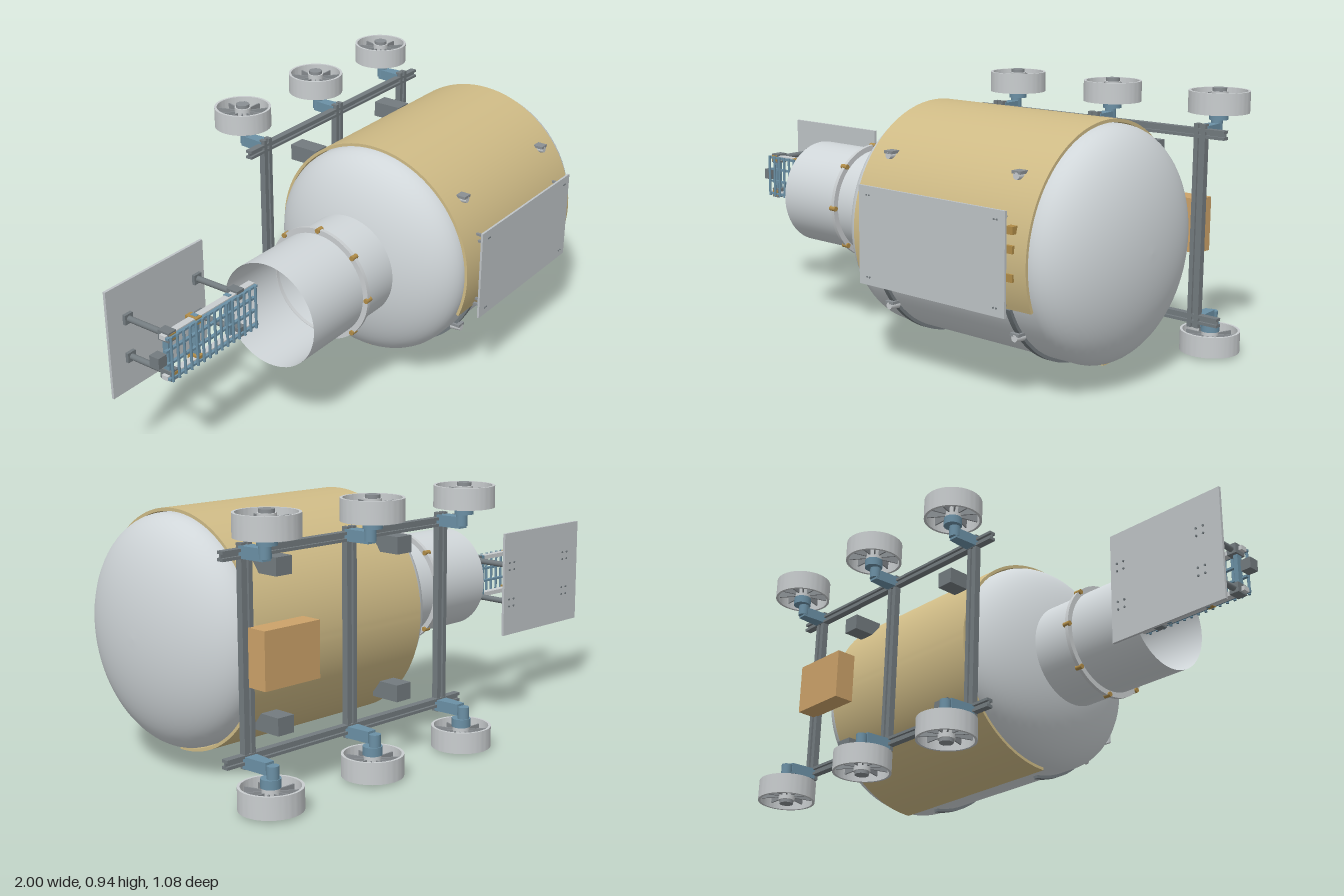
import * as THREE from 'three';
import { toCreasedNormals } from 'three/addons/utils/BufferGeometryUtils.js';

const mat = (name, color, side = THREE.FrontSide) => {
  const m = new THREE.MeshStandardMaterial({ color, side });
  m.name = name;
  return m;
};

export function createModel() {
  const M = {
    hull: mat('hull light grey', 0xd0d6d9, THREE.DoubleSide),
    blanket: mat('khaki blanket', 0xcfbb86),
    panel: mat('panel grey', 0xbfc4c7),
    frame: mat('frame dark grey', 0x737b7f),
    blue: mat('motor blue', 0x6b90a5),
    box: mat('orange box', 0xcca269),
    gold: mat('gold fittings', 0xb08c48),
    wheel: mat('wheel grey', 0xc9cdcf),
    spoke: mat('spoke grey', 0x8a8f93),
  };
  const root = new THREE.Group();
  root.name = 'pressurisedModule';
  const CY = 0.475, CZ = 0.105;

  const add = (name, geo, material, x = 0, y = 0, z = 0, parent = root) => {
    const mesh = new THREE.Mesh(geo, material);
    mesh.name = name;
    mesh.position.set(x, y, z);
    parent.add(mesh);
    return mesh;
  };
  // box given by its limits on each axis
  const slab = (name, material, [x0, x1], [y0, y1], [z0, z1], parent = root) =>
    add(name, new THREE.BoxGeometry(x1 - x0, y1 - y0, z1 - z0), material,
      (x0 + x1) / 2, (y0 + y1) / 2, (z0 + z1) / 2, parent);
  // cylinder along a chosen axis
  const rod = (name, material, r, len, axis, x, y, z, parent = root, r2 = r) => {
    const g = new THREE.CylinderGeometry(r2, r, len, 20);
    if (axis === 'x') g.rotateZ(-Math.PI / 2);
    if (axis === 'z') g.rotateX(Math.PI / 2);
    return add(name, g, material, x, y, z, parent);
  };
  // curved band around the x axis: 0 deg = back, 90 = top, 180 = front
  const band = (rOut, rIn, from, to, len) => {
    const s = new THREE.Shape();
    const a = THREE.MathUtils.degToRad(from), b = THREE.MathUtils.degToRad(to);
    s.absarc(0, 0, rOut, a, b, false);
    s.absarc(0, 0, rIn, b, a, true);
    const g = new THREE.ExtrudeGeometry(s, { depth: len, bevelEnabled: false, curveSegments: 64 });
    g.translate(0, 0, -len / 2).rotateY(Math.PI / 2);
    return toCreasedNormals(g, 0.5);
  };
  const ringGeo = (rOut, rIn, len) => {
    const s = new THREE.Shape();
    s.absarc(0, 0, rOut, 0, Math.PI * 2, false);
    const h = new THREE.Path();
    h.absarc(0, 0, rIn, 0, Math.PI * 2, true);
    s.holes.push(h);
    const g = new THREE.ExtrudeGeometry(s, { depth: len, bevelEnabled: false, curveSegments: 48 });
    g.translate(0, 0, -len / 2).rotateY(Math.PI / 2);
    return toCreasedNormals(g, 0.5);
  };

  // Tank with elliptical domes
  const profile = [];
  const R = 0.396, D = 0.18;
  for (let i = 0; i <= 16; i++) {
    const a = (i / 16) * Math.PI / 2;
    profile.push(new THREE.Vector2(R * Math.sin(a), 0.08 - D * Math.cos(a)));
  }
  for (let i = 0; i <= 16; i++) {
    const a = (i / 16) * Math.PI / 2;
    profile.push(new THREE.Vector2(Math.max(R * Math.cos(a), 0), 0.82 + D * Math.sin(a)));
  }
  const tank = new THREE.LatheGeometry(profile, 72);
  tank.rotateZ(-Math.PI / 2);
  add('tank', tank, M.hull, 0, CY, CZ);
  add('blanket', band(0.41, 0.399, -90, 202, 0.75), M.blanket, 0.445, CY, CZ);

  // Open neck with clamp ring
  const neck = new THREE.CylinderGeometry(0.192, 0.192, 0.48, 64, 1, true);
  neck.rotateZ(Math.PI / 2);
  add('neck', neck, M.hull, -0.295, CY, CZ);
  add('clampRing', ringGeo(0.212, 0.19, 0.014), M.wheel, -0.25, CY, CZ);
  for (let i = 0; i < 8; i++) {
    const a = (i / 8) * Math.PI * 2;
    rod('clampBolt', M.gold, 0.009, 0.028, 'x', -0.25, CY + 0.208 * Math.sin(a), CZ + 0.208 * Math.cos(a));
  }

  // Front panel, curved rails and fittings
  slab('frontPanel', M.panel, [0.122, 0.758], [0.307, 0.645], [0.532, 0.54]);
  for (const x of [0.165, 0.72]) {
    add('hullRail', band(0.407, 0.394, 203, 262, 0.02), M.frame, x, CY, CZ);
    for (const y of [0.615, 0.59, 0.51, 0.435, 0.357, 0.335]) {
      const z0 = CZ + Math.sqrt(0.395 ** 2 - (y - CY) ** 2);
      slab('standoff', M.spoke, [x - 0.005, x + 0.005], [y - 0.004, y + 0.004], [z0, 0.533]);
    }
    for (const y of [0.615, 0.335])
      for (const dx of [-0.006, 0.006])
        rod('panelBolt', M.frame, 0.003, 0.004, 'z', x + dx, y, 0.541);
    for (const y of [0.735, 0.215]) {
      rod('hullFitting', M.wheel, 0.016, 0.04, 'z', x, y, 0.425, root, 0.012);
      slab('fittingPlate', M.spoke, [x - 0.018, x + 0.018], [y + 0.006, y + 0.016], [0.4, 0.445]);
    }
  }
  for (const y of [0.42, 0.51, 0.57]) slab('goldClip', M.gold, [0.745, 0.772], [y, y + 0.025], [0.49, 0.522]);

  // Chassis: channel beams along x and pairs of cross beams
  const channel = (y) => {
    for (const s of [-1, 1])
      slab('railFlange', M.frame, [-0.1, 0.985], [y + s * 0.011 - 0.005, y + s * 0.011 + 0.005], [-0.343, -0.317]);
    slab('railWeb', M.frame, [-0.1, 0.985], [y - 0.008, y + 0.008], [-0.333, -0.327]);
  };
  channel(0.8);
  channel(0.15);
  const wheelX = [-0.003, 0.443, 0.89];
  for (const x of wheelX) {
    for (const s of [-1, 1])
      slab('crossBeam', M.frame, [x + s * 0.014 - 0.008, x + s * 0.014 + 0.008], [0.118, 0.832], [-0.341, -0.317]);
    slab('crossWeb', M.frame, [x - 0.008, x + 0.008], [0.118, 0.832], [-0.333, -0.325]);
  }
  for (const x of [0.167, 0.718])
    for (const y of [0.735, 0.215])
      slab('tankMount', M.frame, [x - 0.034, x + 0.034], [y - 0.03, y + 0.03], [-0.317, -0.2]);
  slab('equipmentBox', M.box, [0.657, 0.887], [0.378, 0.568], [-0.413, -0.336]);

  // Wheels: rim, spokes, hub, motor and arm; the lower set is mirrored
  const rim = ringGeo(0.105, 0.096, 0.075).rotateZ(Math.PI / 2);
  for (const x of wheelX)
    for (const up of [1, -1]) {
      const g = new THREE.Group();
      g.name = up > 0 ? 'upperWheel' : 'lowerWheel';
      g.position.set(x, CY - 0.002 + up * 0.425, -0.435);
      if (up < 0) g.rotation.x = Math.PI;
      root.add(g);
      add('rim', rim, M.wheel, 0, 0, 0, g);
      rod('hub', M.wheel, 0.03, 0.07, 'y', 0, 0, 0, g);
      rod('hubCap', M.spoke, 0.025, 0.016, 'y', 0, 0.039, 0, g);
      for (let i = 0; i < 10; i++) {
        const a = (i / 10) * Math.PI * 2;
        const m = add('spoke', new THREE.BoxGeometry(0.072, 0.04, 0.005), M.spoke,
          0.063 * Math.cos(a), 0, -0.063 * Math.sin(a), g);
        m.rotation.y = a;
      }
      rod('motor', M.blue, 0.033, 0.03, 'y', 0, -0.048, 0, g);
      // tapered arm from the beam to the motor
      const arm = new THREE.BoxGeometry(0.05, 0.04, 0.1);
      const p = arm.attributes.position;
      for (let i = 0; i < p.count; i++) if (p.getZ(i) * up < 0) p.setX(i, p.getX(i) * 0.7);
      arm.computeVertexNormals();
      add('arm', arm, M.blue, 0, -0.093, up * 0.053, g);
      rod('steeringShaft', M.blue, 0.02, 0.05, 'y', 0, -0.08, 0.01, g);
    }

  // Rear panel on four posts
  slab('rearPanel', M.panel, [-1, -0.535], [0.275, 0.677], [-0.19, -0.18]);
  for (const x of [-0.915, -0.578])
    for (const y of [0.547, 0.403]) {
      rod('panelPost', M.frame, 0.011, 0.17, 'z', x, y, -0.095);
      slab('postFoot', M.frame, [x - 0.018, x + 0.018], [y - 0.018, y + 0.018], [-0.18, -0.168]);
      slab('postClamp', M.frame, [x - 0.018, x + 0.018], [y - 0.018, y + 0.018], [-0.025, 0.022]);
      for (const dx of [-0.014, 0.014])
        for (const dy of [-0.014, 0.014])
          rod('postBolt', M.frame, 0.004, 0.004, 'z', x + dx, y + dy, -0.191);
    }

  // Ladder conveyor reaching into the neck
  for (const y of [0.4, 0.55]) {
    slab('ladderBeam', M.wheel, [-0.945, -0.5], [y - 0.008, y + 0.008], [-0.008, 0.018]);
    slab('ladderEdge', M.blue, [-0.945, -0.5], [y - 0.004, y + 0.004], [0.018, 0.03]);
  }
  for (const y of [0.45, 0.5]) slab('ladderStringer', M.blue, [-0.945, -0.5], [y - 0.004, y + 0.004], [0.008, 0.02]);
  for (let i = 0; i < 15; i++) rod('rung', M.blue, 0.005, 0.165, 'y', -0.935 + i * 0.03, CY, 0.033);
  for (const x of [-0.92, -0.785, -0.62])
    slab('ladderTie', M.blue, [x - 0.008, x + 0.008], [0.39, 0.56], [-0.012, 0.012]);
  for (const x of [-0.915, -0.79])
    for (const y of [0.547, 0.403])
      slab('goldBlock', M.gold, [x - 0.014, x + 0.014], [y - 0.012, y + 0.012], [-0.024, 0.024]);
  slab('endMotor', M.frame, [-0.983, -0.945], [0.455, 0.495], [-0.02, 0.02]);

  return root;
}
